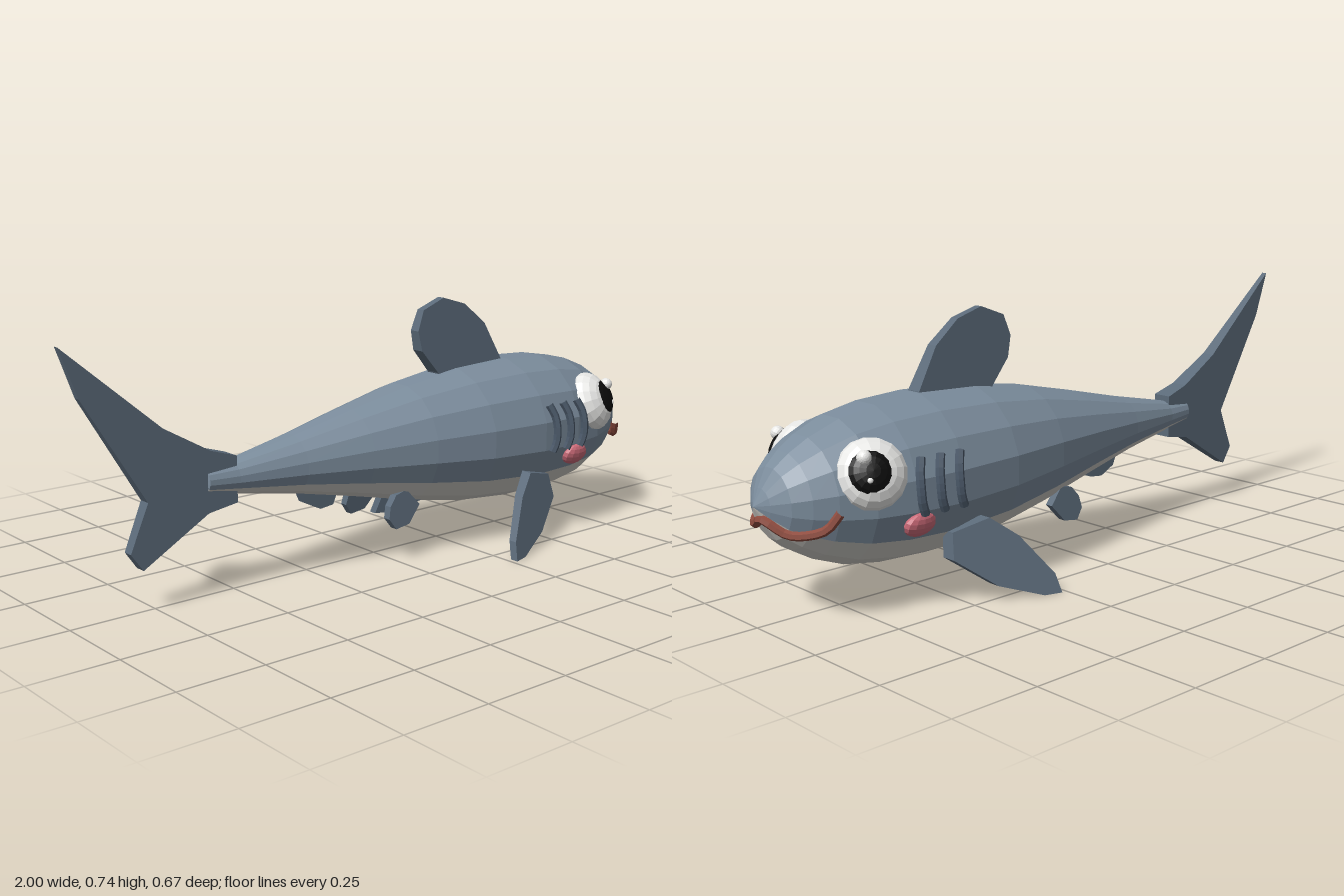
import * as THREE from 'three';

const mat = (name, color) => new THREE.MeshStandardMaterial({ name, color, flatShading: true });

// Body stations from tail to nose: x, centre height, radius
const STATIONS = [
  [-0.595, 0.325, 0], [-0.59, 0.325, 0.036], [-0.5, 0.322, 0.047], [-0.3, 0.325, 0.085], [-0.1, 0.327, 0.13],
  [0.1, 0.326, 0.175], [0.3, 0.321, 0.208], [0.5, 0.317, 0.221], [0.65, 0.316, 0.214], [0.76, 0.315, 0.195],
  [0.85, 0.314, 0.16], [0.905, 0.314, 0.127], [0.945, 0.314, 0.093], [0.975, 0.314, 0.045], [0.997, 0.315, 0],
];
const SIDES = 16;

// Lofted 16-sided body; the five lowest strips form the belly
function bodyStrips(belly) {
  const pos = [];
  const at = (i, k) => {
    const [x, y, r] = STATIONS[i];
    const a = ((k + 0.5) / SIDES) * Math.PI * 2;
    return [x, y - r * Math.cos(a), r * Math.sin(a)];
  };
  for (let k = 0; k < SIDES; k++) {
    if ((k < 2 || k > 12) !== belly) continue;
    for (let i = 0; i < STATIONS.length - 1; i++) {
      const a = at(i, k), b = at(i + 1, k), c = at(i + 1, k + 1), d = at(i, k + 1);
      if (STATIONS[i + 1][2] > 0) pos.push(...a, ...b, ...c);
      if (STATIONS[i][2] > 0) pos.push(...a, ...c, ...d);
    }
  }
  const g = new THREE.BufferGeometry();
  g.setAttribute('position', new THREE.Float32BufferAttribute(pos, 3));
  g.computeVertexNormals();
  return g;
}

// Thick plate from an outline; zAt(x, y, side) places its two faces
function plate(outline, zAt) {
  const shape = new THREE.Shape(outline.map(([x, y]) => new THREE.Vector2(x, y)));
  const g = new THREE.ExtrudeGeometry(shape, { depth: 2, bevelEnabled: false });
  const p = g.attributes.position;
  for (let i = 0; i < p.count; i++) p.setZ(i, zAt(p.getX(i), p.getY(i), p.getZ(i) > 1 ? 1 : -1));
  g.computeVertexNormals();
  return g;
}

function tube(points, radius, segments) {
  const curve = new THREE.CatmullRomCurve3(points.map((p) => new THREE.Vector3(...p)));
  return new THREE.TubeGeometry(curve, segments, radius, 6, false);
}

export function createModel() {
  const blue = mat('bodyBlueGrey', 0x7b8c9c);
  const pale = mat('bellyGrey', 0xcbc9c4);
  const fin = mat('finSlate', 0x5c6b7a);
  const gillMat = mat('gillSlate', 0x4a5868);
  const white = mat('eyeWhite', 0xf2f2f0);
  const black = mat('pupilBlack', 0x0c0c0c);
  const pink = mat('cheekPink', 0xcb6a78);
  const red = mat('mouthRed', 0x8f4c3f);

  const model = new THREE.Group();
  const add = (parent, name, geometry, material) => {
    const m = new THREE.Mesh(geometry, material);
    m.name = name;
    parent.add(m);
    return m;
  };

  add(model, 'back', bodyStrips(false), blue);
  add(model, 'belly', bodyStrips(true), pale);

  // Fins on the centre line
  add(model, 'dorsalFin', plate(
    [[0.26, 0.46], [0.23, 0.52], [0.17, 0.59], [0.157, 0.65], [0.18, 0.71], [0.26, 0.74], [0.345, 0.715], [0.425, 0.65], [0.49, 0.535], [0.49, 0.48]],
    (x, y, s) => s * THREE.MathUtils.mapLinear(y, 0.5, 0.74, 0.025, 0.012)), fin);
  add(model, 'tailFin', plate(
    [[-0.5, 0.385], [-0.58, 0.41], [-0.72, 0.49], [-1, 0.73], [-0.95, 0.595], [-0.77, 0.3], [-0.825, 0.17], [-0.79, 0.12], [-0.59, 0.24], [-0.5, 0.255]],
    (x, y, s) => s * THREE.MathUtils.mapLinear(x, -1, -0.5, 0.008, 0.03)), fin);
  add(model, 'analFin', plate(
    [[-0.28, 0.25], [-0.26, 0.205], [-0.21, 0.18], [-0.165, 0.185], [-0.14, 0.24]],
    (x, y, s) => s * 0.018), fin);

  // Mouth wrapped round the snout
  add(model, 'mouth', tube([
    [0.86, 0.307, 0.174], [0.878, 0.268, 0.155], [0.945, 0.25, 0.08], [0.968, 0.262, 0.03], [0.985, 0.285, -0.02],
    [0.95, 0.25, -0.075], [0.92, 0.25, -0.115], [0.885, 0.265, -0.15], [0.86, 0.307, -0.174]], 0.012, 24), red);

  // Paired parts, built on the left and mirrored
  for (const side of [1, -1]) {
    const half = new THREE.Group();
    half.name = side > 0 ? 'leftSide' : 'rightSide';
    half.scale.z = side;
    model.add(half);

    add(half, 'pectoralFin', plate(
      [[0.425, 0.22], [0.53, 0.195], [0.54, 0.125], [0.435, 0.045], [0.315, 0.003], [0.265, 0.003], [0.275, 0.055], [0.355, 0.165]],
      (x, y, s) => 0.414 - 0.343 * x - 0.271 * y + s * THREE.MathUtils.mapLinear(x, 0.265, 0.54, 0.013, 0.021)), fin);
    add(half, 'pelvicFin', plate(
      [[0.04, 0.21], [0.085, 0.16], [0.04, 0.11], [-0.01, 0.103], [-0.033, 0.135], [-0.025, 0.17], [0, 0.2]],
      (x, y, s) => 0.117 - 0.13 * y + s * 0.012), fin);

    // Gill slits following the flank
    for (let i = 0; i < 3; i++) {
      const x = 0.512 + i * 0.062;
      const r = 0.226 - i * 0.002;
      add(half, 'gill' + (i + 1), tube([[0, 0.415], [0.014, 0.38], [0.018, 0.34], [0.014, 0.3], [0.002, 0.272]].map(
        ([dx, y]) => [x + dx, y, Math.sqrt(r * r - (y - 0.317) ** 2) + 0.009]), 0.012, 8), gillMat);
    }

    const cheek = add(half, 'cheek', new THREE.SphereGeometry(1, 12, 8), pink);
    cheek.position.set(0.64, 0.241, 0.204);
    cheek.scale.set(0.05, 0.034, 0.02);
    cheek.rotation.x = 0.36;

    // Eye: flattened globe, pupil and highlights facing outward
    const eye = new THREE.Group();
    eye.name = 'eye';
    eye.position.set(0.755, 0.385, 0.16);
    eye.quaternion.setFromUnitVectors(new THREE.Vector3(0, 0, 1), new THREE.Vector3(0.36, 0.38, 0.85).normalize());
    half.add(eye);
    const ball = (name, material, x, y, z, r, depth) => {
      const g = new THREE.SphereGeometry(1, 16, 10);
      g.rotateX(Math.PI / 2);
      const m = add(eye, name, g, material);
      m.position.set(x, y, z);
      m.scale.set(r, r, depth);
    };
    ball('eyeball', white, 0, 0, 0, 0.093, 0.06);
    ball('pupil', black, 0.008, 0.0, 0.034, 0.06, 0.032);
    ball('highlight', white, 0.024, 0.036, 0.058, 0.019, 0.019);
    ball('smallHighlight', white, 0.02, -0.022, 0.06, 0.008, 0.006);
  }
  return model;
}
